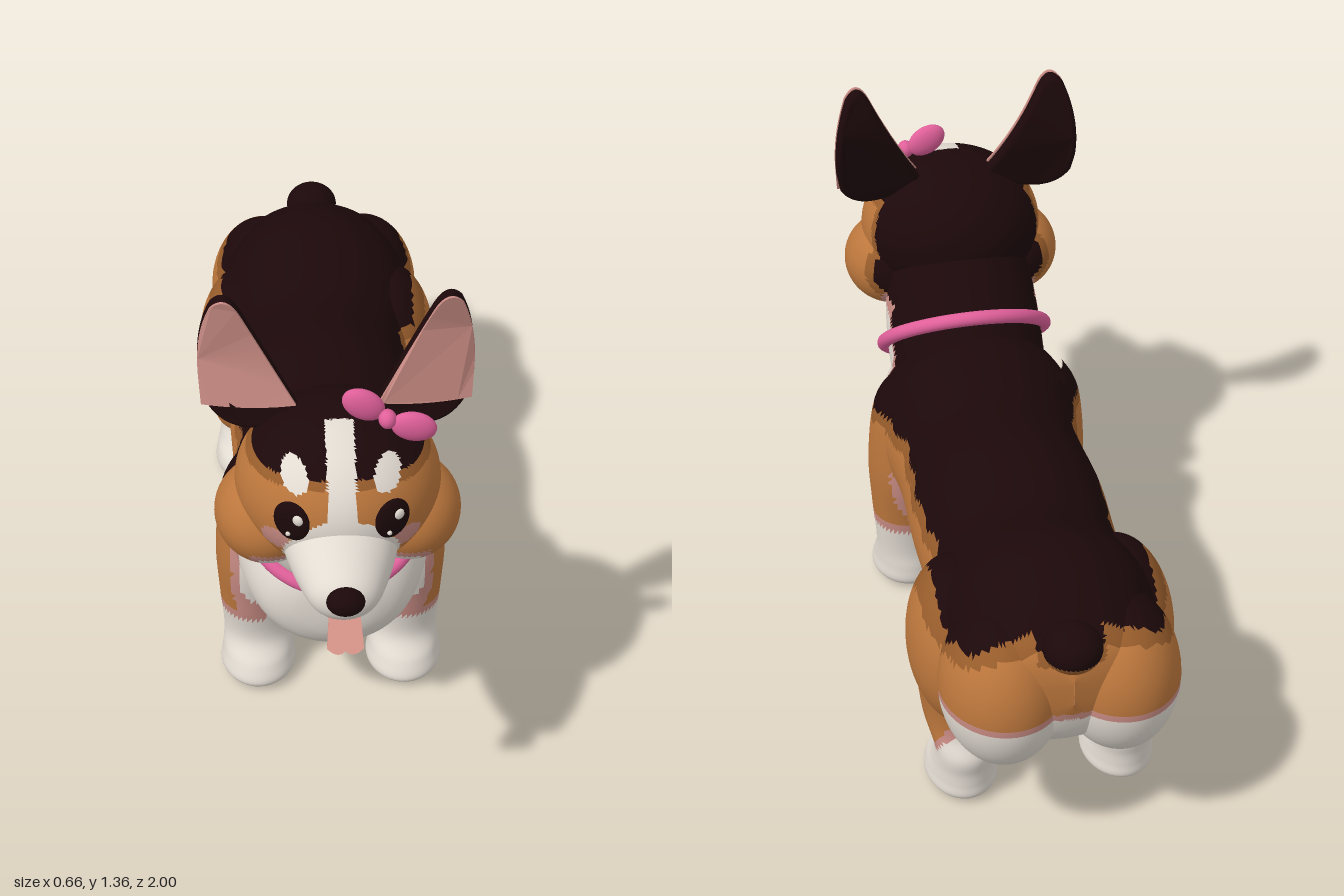
import * as THREE from 'three';

const mat = (name, color) => Object.assign(new THREE.MeshStandardMaterial({ color }), { name });
const white = mat('creamWhite', 0xe2dbd2), tan = mat('tan', 0xbb763c), dark = mat('darkBrown', 0x1c080a);
const brown = mat('midBrown', 0x975c2b), blush = mat('blushPink', 0xc88b83), pink = mat('hotPink', 0xe0609a);
const tongueMat = mat('tonguePink', 0xd9958a);
const FUR = [white, tan, dark, brown, blush];
const WHITE = 0, TAN = 1, DARK = 2, BROWN = 3, BLUSH = 4;

// Fur pattern of body, by position
function coat(x, y, z) {
  const ax = Math.abs(x);
  const socks = (z > 0 ? 0.205 : 0.14) - y;
  const chest = Math.min(z - 0.345, (z - 0.345) * 1.1 + 0.65 - y, 0.235 - ax);
  const belly = Math.min(0.39 - y, Math.max(0.17 - ax, Math.min(z + 0.4, 0.12 - z)));
  const ankle = z < -0.45 && z > -0.72 && y < 0.22;
  const rump = Math.min(0.445 - y, -0.72 - (y - 0.27) * 0.5 - z);
  const w = Math.max(socks, chest, ankle ? -1 : belly, rump);
  if (w > 0) return WHITE;
  if (w > -0.02) return BLUSH;
  const onTail = z < -0.86 && ax < 0.08;
  const line = onTail ? 0.64 : 0.572 + Math.max(0, -0.75 - z) * 0.45 + 0.009 * Math.sin(z * 45);
  const saddle = Math.min(y - line, z < 0 ? 0.262 - ax : 1, onTail ? 1 : z + 0.88);
  return saddle > 0 ? DARK : saddle > -0.035 ? BROWN : TAN;
}

// Fur pattern of the face
function face(x, y, z) {
  const ax = Math.abs(x);
  const blaze = z > 0.64 ? 0.033 + Math.max(0, 0.95 - y) * 0.5 - ax : -1;
  const muzzle = z > 0.74 ? 0.135 - Math.hypot(x, y - 0.81) : -1;
  const brows = z > 0.6 ? 0.031 - Math.hypot(ax - 0.105, y - 1.022) : -1;
  const jaw = Math.min(0.75 - y, 0.19 - ax);
  if (Math.max(blaze, muzzle, brows, jaw) > 0) return WHITE;
  if (jaw > -0.02 || (z > 0.65 && Math.hypot(ax - 0.15, y - 0.86) < 0.033)) return BLUSH;
  const d = Math.max(y - 1.03 + ax * 0.1, 0.47 + (y - 0.78) * 0.28 - z);
  return d > 0 ? DARK : d > -0.018 ? BROWN : TAN;
}

// The neck carries the face pattern above the throat
const neckCoat = (x, y, z) => (y > 0.74 && z > 0.4 ? face(x, y, z) : coat(x, y, z));

// Sorts triangles into one material group per fur colour
function paint(geo, rule) {
  const p = geo.attributes.position, idx = geo.index.array, sets = FUR.map(() => []);
  for (let i = 0; i < idx.length; i += 3) {
    const t = [idx[i], idx[i + 1], idx[i + 2]];
    const mid = (get) => (get(t[0]) + get(t[1]) + get(t[2])) / 3;
    sets[rule(mid((k) => p.getX(k)), mid((k) => p.getY(k)), mid((k) => p.getZ(k)))].push(...t);
  }
  geo.setIndex(sets.flat());
  geo.clearGroups();
  let start = 0;
  sets.forEach((s, m) => {
    if (s.length) geo.addGroup(start, s.length, m);
    start += s.length;
  });
  return geo;
}

// Smooth skin over elliptical sections [x, y, z, half width, half depth], facing direction (0, ty, tz)
function loft(rows, ty, tz, steps, seg) {
  const pos = [], index = [];
  const n = rows.length - 1;
  const at = (k, c) => rows[Math.min(n, Math.max(0, k))][c];
  for (let i = 0; i <= steps; i++) {
    const f = (i / steps) * n, k = Math.min(n - 1, Math.floor(f)), t = f - k;
    const v = [0, 1, 2, 3, 4].map((c) => {
      const a = at(k - 1, c), b = at(k, c), d = at(k + 1, c), e = at(k + 2, c);
      return b + 0.5 * t * (d - a + t * (2 * a - 5 * b + 4 * d - e + t * (3 * (b - d) + e - a)));
    });
    const rx = Math.max(v[3], 0.0005), rv = Math.max(v[4], 0.0005);
    for (let j = 0; j < seg; j++) {
      const a = (j / seg) * Math.PI * 2, s = Math.sin(a) * rv;
      pos.push(v[0] + Math.cos(a) * rx, v[1] + tz * s, v[2] - ty * s);
      if (i === steps) continue;
      const p = i * seg + j, q = i * seg + ((j + 1) % seg);
      index.push(p, q, q + seg, p, q + seg, p + seg);
    }
  }
  const g = new THREE.BufferGeometry();
  g.setAttribute('position', new THREE.Float32BufferAttribute(pos, 3));
  g.setIndex(index);
  g.computeVertexNormals();
  return g;
}

function blob([x, y, z], [rx, ry, rz], w = 24, h = 16, turnY = 0, turnZ = 0) {
  return new THREE.SphereGeometry(1, w, h).scale(rx, ry, rz).rotateZ(turnZ).rotateY(turnY).translate(x, y, z);
}

function plate(shape, depth, bevel = 0) {
  return new THREE.ExtrudeGeometry(shape, {
    depth, curveSegments: 20, bevelEnabled: bevel > 0, bevelSize: bevel, bevelOffset: -bevel,
    bevelThickness: bevel, bevelSegments: 5,
  });
}

// Curls an ear plate: base and tip forward, outer edge back
function curl(geo, z0) {
  const p = geo.attributes.position;
  for (let i = 0; i < p.count; i++) {
    const x = Math.abs(p.getX(i)), y = p.getY(i);
    p.setZ(i, p.getZ(i) + z0 + (y - 1.22) ** 2 - (x - 0.2) * 0.2);
  }
  geo.computeVertexNormals();
  return geo;
}

// Upper ear outline, closed along a base given by its outer, control and inner points
function earShape(s, outer, control, inner) {
  const e = new THREE.Shape();
  e.moveTo(s * inner[0], inner[1]);
  e.quadraticCurveTo(s * 0.16, 1.19, s * 0.218, 1.315);
  e.quadraticCurveTo(s * 0.25, 1.385, s * 0.286, 1.335);
  e.quadraticCurveTo(s * 0.325, 1.24, s * 0.317, 1.13);
  e.lineTo(s * outer[0], outer[1]);
  e.quadraticCurveTo(s * control[0], control[1], s * inner[0], inner[1]);
  return e;
}

export function createModel() {
  const model = new THREE.Group();
  model.name = 'dog';
  const add = (name, geo, material) => {
    const m = new THREE.Mesh(geo, material);
    m.name = name;
    model.add(m);
  };
  const fur = (name, geo, rule) => add(name, paint(geo, rule), FUR);

  // Torso: z, top, bottom, half width
  const torso = [
    [-0.955, 0.57, 0.5, 0.001], [-0.91, 0.66, 0.37, 0.18], [-0.8, 0.735, 0.28, 0.235], [-0.65, 0.765, 0.25, 0.265],
    [-0.43, 0.7, 0.25, 0.245], [-0.2, 0.725, 0.24, 0.25], [0, 0.708, 0.24, 0.243], [0.1, 0.725, 0.24, 0.25],
    [0.22, 0.76, 0.24, 0.265], [0.4, 0.7, 0.24, 0.23], [0.5, 0.6, 0.28, 0.18], [0.545, 0.53, 0.34, 0.11],
    [0.56, 0.45, 0.42, 0.001],
  ].map(([z, top, low, w]) => [0, (top + low) / 2, z, w, (top - low) / 2]);
  fur('torso', loft(torso, 0, 1, 140, 120), coat);
  fur('chest', blob([0, 0.435, 0.42], [0.2, 0.19, 0.135], 56, 36), coat);
  fur('tail', blob([0, 0.655, -0.93], [0.07, 0.058, 0.07], 40, 28), coat);
  const neck = [
    [0, 0.48, 0.22, 0.2, 0.2], [0, 0.66, 0.405, 0.207, 0.207], [0, 0.8, 0.5, 0.19, 0.17], [0, 0.92, 0.58, 0.14, 0.13],
  ];
  fur('neck', loft(neck, 0.74, 0.67, 60, 64), neckCoat);

  // Head
  fur('head', blob([0, 0.9, 0.6], [0.24, 0.2, 0.23], 128, 90), face);
  const muzzle = [
    [0, 0.82, 0.66, 0.15, 0.11], [0, 0.82, 0.79, 0.125, 0.1], [0, 0.815, 0.87, 0.102, 0.083],
    [0, 0.812, 0.93, 0.077, 0.062], [0, 0.812, 0.957, 0.045, 0.036], [0, 0.812, 0.965, 0.001, 0.001],
  ];
  fur('muzzle', loft(muzzle, 0, 1, 40, 64), face);
  add('nose', blob([0, 0.835, 0.968], [0.044, 0.034, 0.032]), dark);

  // Tongue with a notched tip
  const t = new THREE.Shape();
  t.moveTo(-0.034, 0.02);
  t.lineTo(-0.042, -0.08);
  t.quadraticCurveTo(-0.018, -0.104, 0, -0.086);
  t.quadraticCurveTo(0.018, -0.104, 0.042, -0.08);
  t.lineTo(0.034, 0.02);
  add('tongue', plate(t, 0.009).rotateX(-0.65).translate(0, 0.757, 0.918), tongueMat);

  for (const s of [-1, 1]) {
    const side = s > 0 ? 'left' : 'right';
    fur(side + 'Cheek', blob([s * 0.165, 0.805, 0.6], [0.125, 0.118, 0.142], 56, 36), face);

    // Eyes and highlights
    add(side + 'Eye', blob([s * 0.114, 0.931, 0.797], [0.045, 0.054, 0.015], 24, 16, s * 0.49), dark);
    const ex = s * 0.115 + 0.014;
    add(side + 'EyeShine', blob([ex, 0.948, 0.811 - s * 0.007], [0.013, 0.014, 0.007], 12, 8, s * 0.49), white);
    add(side + 'EyeGlint', blob([s * 0.115 - 0.008, 0.903, 0.812 + s * 0.004], [0.006, 0.006, 0.005], 12, 8), white);

    // Ears with a pink lining
    const ear = earShape(s, [0.308, 1.08], [0.25, 0.97], [0.08, 1.06]);
    const lining = earShape(s, [0.313, 1.07], [0.2, 1.065], [0.095, 1.088]);
    add(side + 'Ear', curl(plate(ear, 0.016, 0.012), 0.505), dark);
    add(side + 'EarLining', curl(plate(lining, 0.008), 0.529), blush);

    // Haunches and legs
    fur(side + 'Buttock', blob([s * 0.14, 0.465, -0.8], [0.15, 0.205, 0.18], 56, 36), coat);
    fur(side + 'Thigh', blob([s * 0.2, 0.43, -0.58], [0.128, 0.215, 0.2], 56, 36), coat);
    const front = [
      [s * 0.18, 0.66, 0.22, 0.05, 0.06], [s * 0.19, 0.57, 0.23, 0.085, 0.11], [s * 0.193, 0.4, 0.24, 0.1, 0.125],
      [s * 0.195, 0.25, 0.24, 0.092, 0.1], [s * 0.19, 0.13, 0.24, 0.088, 0.085], [s * 0.19, 0.07, 0.26, 0.092, 0.108],
      [s * 0.19, 0.025, 0.27, 0.096, 0.116], [s * 0.19, 0.004, 0.27, 0.06, 0.08], [s * 0.19, 0, 0.27, 0.001, 0.001],
    ];
    fur(side + 'FrontLeg', loft(front, -1, 0, 56, 44), coat);
    const hind = [
      [s * 0.2, 0.4, -0.57, 0.11, 0.17], [s * 0.2, 0.28, -0.56, 0.1, 0.14], [s * 0.205, 0.2, -0.575, 0.085, 0.115],
      [s * 0.2, 0.14, -0.632, 0.073, 0.083], [s * 0.2, 0.09, -0.615, 0.078, 0.095], [s * 0.2, 0.055, -0.59, 0.087, 0.12],
      [s * 0.2, 0.02, -0.585, 0.09, 0.124], [s * 0.2, 0.003, -0.585, 0.06, 0.09], [s * 0.2, 0, -0.585, 0.001, 0.001],
    ];
    fur(side + 'HindLeg', loft(hind, -1, 0, 48, 40), coat);

    // Bow loops
    add(side + 'BowLoop', blob([0.113 + s * 0.057, 1.105 + (s > 0 ? -0.024 : 0.027), 0.645 + s * 0.01],
      [0.054, 0.038, 0.022], 24, 16, 0, s > 0 ? -0.25 : -0.6), pink);
  }
  add('bowKnot', blob([0.11, 1.102, 0.652], [0.021, 0.023, 0.024], 20, 14), pink);

  // Collar with a heart tag
  add('collar', new THREE.TorusGeometry(0.217, 0.019, 16, 72).rotateX(-0.83).translate(0, 0.66, 0.405), pink);
  const h = new THREE.Shape();
  h.moveTo(0, -0.036);
  h.bezierCurveTo(-0.02, -0.016, -0.036, -0.004, -0.035, 0.012);
  h.bezierCurveTo(-0.034, 0.034, -0.006, 0.034, 0, 0.014);
  h.bezierCurveTo(0.006, 0.034, 0.034, 0.034, 0.035, 0.012);
  h.bezierCurveTo(0.036, -0.004, 0.02, -0.016, 0, -0.036);
  add('heartTag', plate(h, 0.007).rotateX(-0.3).translate(0, 0.463, 0.588), tan);

  return model;
}
